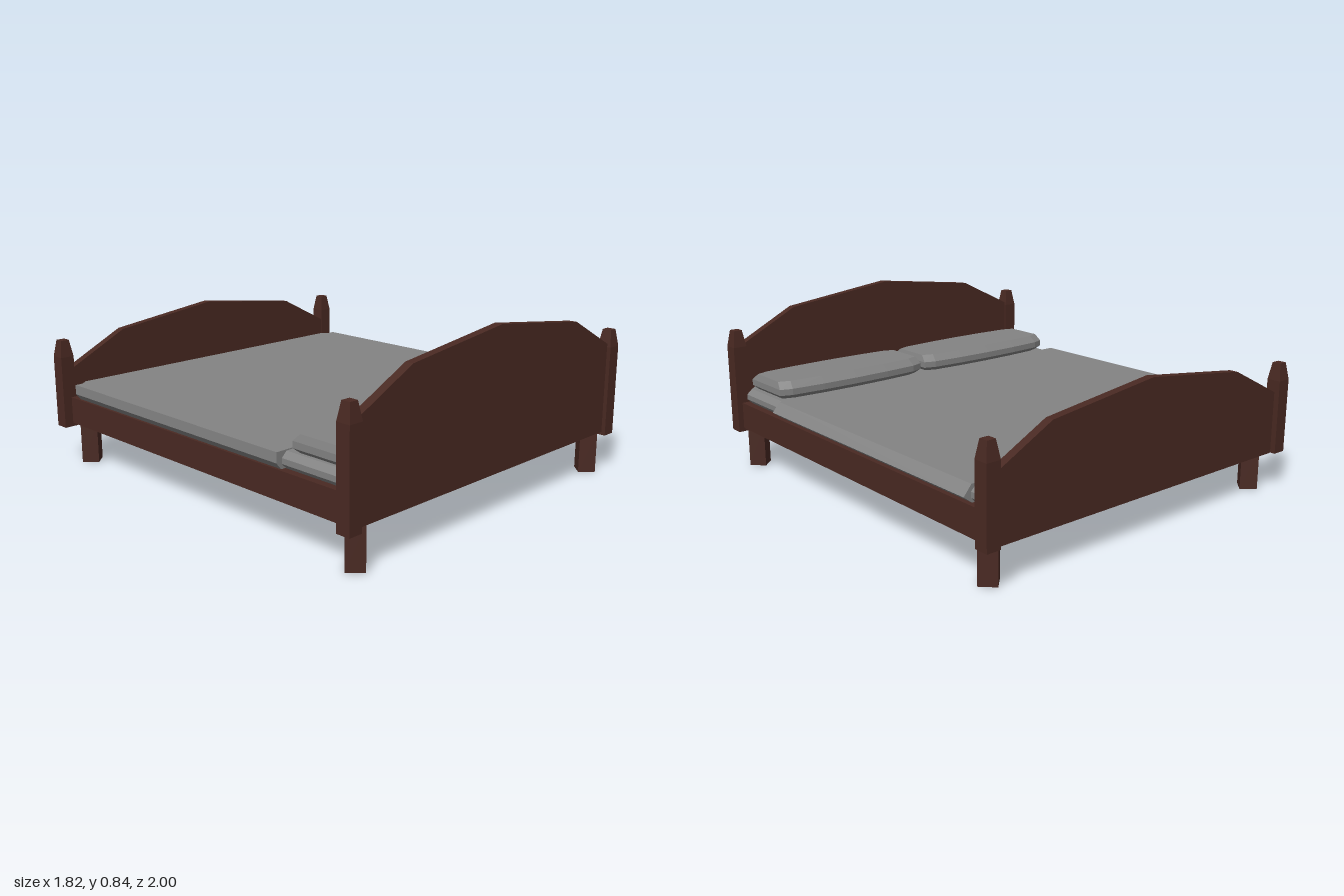
import * as THREE from 'three';
import { ConvexGeometry } from 'three/addons/geometries/ConvexGeometry.js';

const wood = new THREE.MeshStandardMaterial({ color: 0x492922, flatShading: true });
const fabric = new THREE.MeshStandardMaterial({ color: 0x838383, flatShading: true });

// Faceted solid from stacked horizontal outlines: [y, [[x, z], ...]]
function stack(rings) {
  return new ConvexGeometry(rings.flatMap(([y, outline]) => outline.map(([x, z]) => new THREE.Vector3(x, y, z))));
}

const rect = (x0, x1, z0, z1) => [[x0, z0], [x1, z0], [x1, z1], [x0, z1]];

// Rectangle outline with cut corners
function cutRect(x0, x1, z0, z1, c) {
  return [[x0 + c, z0], [x1 - c, z0], [x1, z0 + c], [x1, z1 - c],
    [x1 - c, z1], [x0 + c, z1], [x0, z1 - c], [x0, z0 + c]];
}

// Pillow outline whose long edges bow outwards
function pillowOutline(hx, z0, z1, bow) {
  const points = [];
  for (const t of [-1, -0.86, -0.45, 0, 0.45, 0.86, 1]) {
    const inset = bow * t * t + (Math.abs(t) === 1 ? 0.015 : 0);
    points.push([t * hx, z0 + inset], [t * hx, z1 - inset]);
  }
  return points;
}

export function createModel() {
  const bed = new THREE.Group();
  bed.name = 'bed';

  function add(name, geometry, material, x = 0, y = 0, z = 0) {
    const mesh = new THREE.Mesh(geometry, material);
    mesh.name = name;
    mesh.position.set(x, y, z);
    bed.add(mesh);
  }

  // Arched end boards
  function endBoard(name, z, bottom, drop) {
    const shape = new THREE.Shape([
      [-0.84, bottom], [0.845, bottom], [0.845, 0.625 - drop], [0.565, 0.77 - drop],
      [0.005, 0.84 - drop], [-0.55, 0.77 - drop], [-0.84, 0.625 - drop],
    ].map(([x, y]) => new THREE.Vector2(x, y)));
    add(name, new THREE.ExtrudeGeometry(shape, { depth: 0.04, bevelEnabled: false }), wood, 0, 0, z - 0.02);
  }
  endBoard('headboard', 0.96, 0.195, 0);
  endBoard('footboard', -0.955, 0.18, 0.15);

  // Corner posts with tapered tops, and legs turned corner-forward
  const square = (h) => rect(-h, h, -h, h);
  for (const [end, z, shoulder, legZ] of [['head', 0.965, 0.61, 0.92], ['foot', -0.965, 0.53, -0.89]]) {
    const post = stack([[0.18, square(0.034)], [shoulder, square(0.034)], [shoulder + 0.08, square(0.021)]]);
    const leg = new THREE.CylinderGeometry(0.057, 0.057, 0.2, 4);
    for (const side of [-1, 1]) {
      add(end + 'Post', post, wood, side * 0.876, 0, z);
      add(end + 'Leg', leg, wood, side * 0.803 + 0.008, 0.1, legZ);
    }
  }

  // Bed base with side rails
  add('bedFrame', new THREE.BoxGeometry(1.75, 0.13, 1.87), wood, 0.008, 0.262, 0);

  // Mattress with softened corners
  add('mattress', stack([
    [0.325, cutRect(-0.83, 0.845, -0.915, 0.925, 0.03)],
    [0.35, cutRect(-0.855, 0.87, -0.93, 0.935, 0.035)],
    [0.375, cutRect(-0.855, 0.87, -0.93, 0.935, 0.035)],
    [0.4, cutRect(-0.83, 0.845, -0.905, 0.925, 0.03)],
  ]), fabric);

  // Blanket overhanging both sides and tucked under
  add('blanket', stack([
    [0.33, rect(-0.86, 0.865, -0.86, 0.58)],
    [0.36, rect(-0.885, 0.905, -0.86, 0.58)],
    [0.405, rect(-0.883, 0.867, -0.86, 0.58)],
  ]), fabric);

  // Two pillows against the headboard
  const pillow = stack([
    [0.395, pillowOutline(0.385, 0.61, 0.9, 0.02)],
    [0.42, pillowOutline(0.412, 0.585, 0.928, 0.02)],
    [0.45, pillowOutline(0.412, 0.585, 0.928, 0.02)],
    [0.482, pillowOutline(0.402, 0.618, 0.885, 0.02)],
  ]);
  for (const x of [-0.423, 0.428]) add('pillow', pillow, fabric, x);

  return bed;
}
